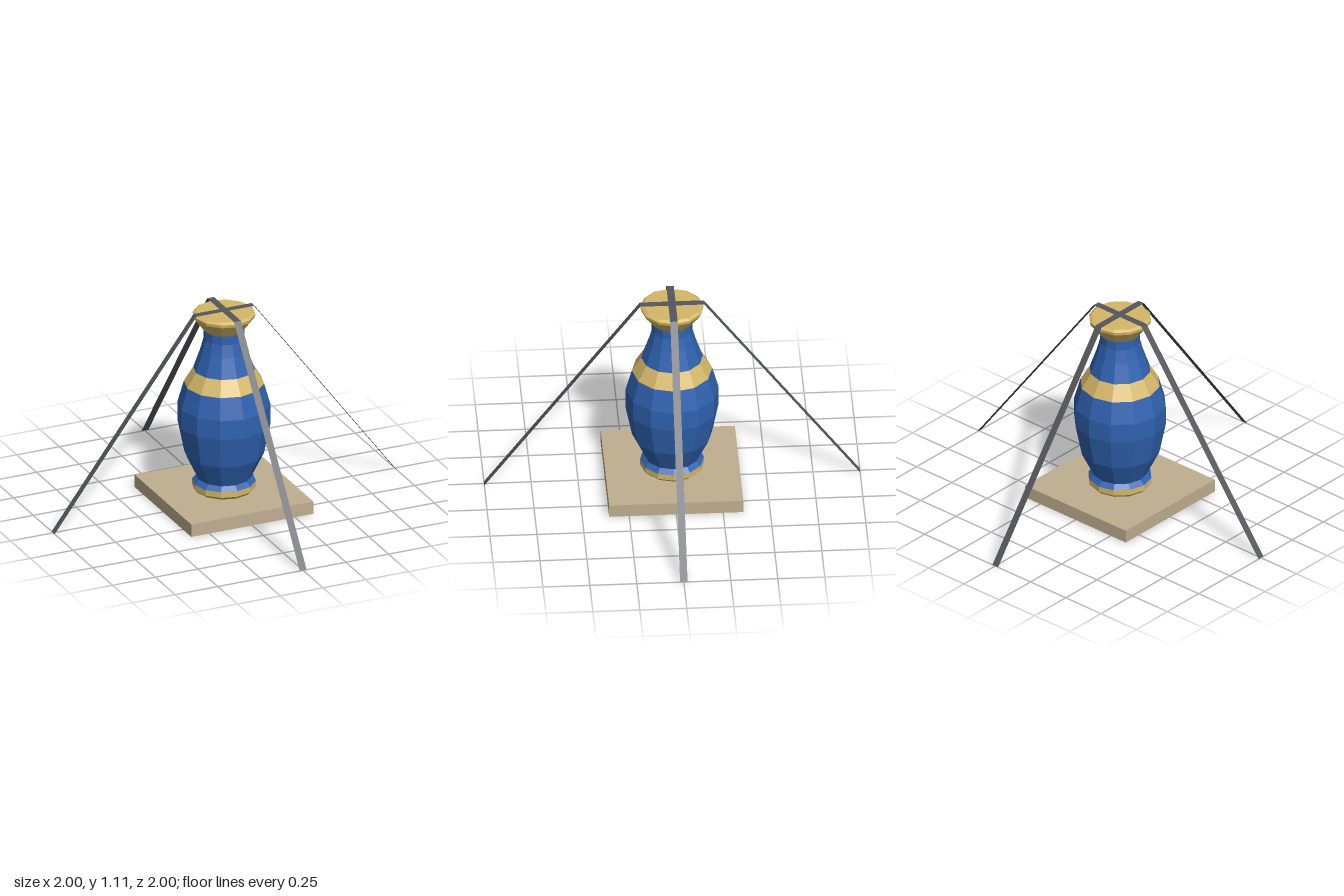
import * as THREE from 'three';

const paint = (color, side = THREE.FrontSide) =>
  new THREE.MeshStandardMaterial({ color, flatShading: true, side });

export function createModel() {
  const model = new THREE.Group();
  model.name = 'tiedDownVase';
  const blue = paint(0x2f62b0), gold = paint(0xd4b767);
  const tan = paint(0xbfae90), grey = paint(0x53565c, THREE.DoubleSide);

  const add = (name, geometry, material, parent = model) => {
    const mesh = new THREE.Mesh(geometry, material);
    mesh.name = name;
    parent.add(mesh);
    return mesh;
  };

  // Square base slab
  const baseHeight = 0.072;
  add('base', new THREE.BoxGeometry(0.714, baseHeight, 0.714), tan).position.y = baseHeight / 2;

  // Twelve-sided vase, one turned band per colour, [radius, height] from bottom to top
  const vase = new THREE.Group();
  vase.name = 'vase';
  model.add(vase);
  const bands = [
    ['footRing', gold, [[0, 0.073], [0.153, 0.073], [0.17, 0.09], [0.17, 0.122]]],
    ['body', blue, [[0.17, 0.122], [0.146, 0.147], [0.213, 0.285], [0.248, 0.46], [0.248, 0.57], [0.214, 0.69]]],
    ['shoulderBand', gold, [[0.214, 0.69], [0.164, 0.773]]],
    ['neck', blue, [[0.164, 0.773], [0.127, 0.88], [0.108, 0.95], [0.108, 1.0]]],
    ['rim', gold, [[0.108, 1.0], [0.165, 1.075], [0.168, 1.092], [0.152, 1.102], [0, 1.102]]],
  ];
  for (const [name, material, profile] of bands) {
    const points = profile.map(([r, y]) => new THREE.Vector2(r, y));
    add(name, new THREE.LatheGeometry(points, 12), material, vase);
  }

  // Thin straps crossing over the rim and running down to the ground
  const strap = (name, top) => {
    const geometry = new THREE.PlaneGeometry(2, 0.04, 3, 1).rotateX(-Math.PI / 2);
    const p = geometry.attributes.position;
    for (let i = 0; i < p.count; i++) {
      const x = p.getX(i);
      if (Math.abs(x) < 0.5) {
        p.setX(i, Math.sign(x) * 0.17);
        p.setY(i, top);
      } else p.setY(i, 0);
    }
    geometry.computeVertexNormals();
    return add(name, geometry, grey);
  };
  strap('sideStrap', 1.109);
  strap('frontBackStrap', 1.111).rotation.y = Math.PI / 2;

  return model;
}
